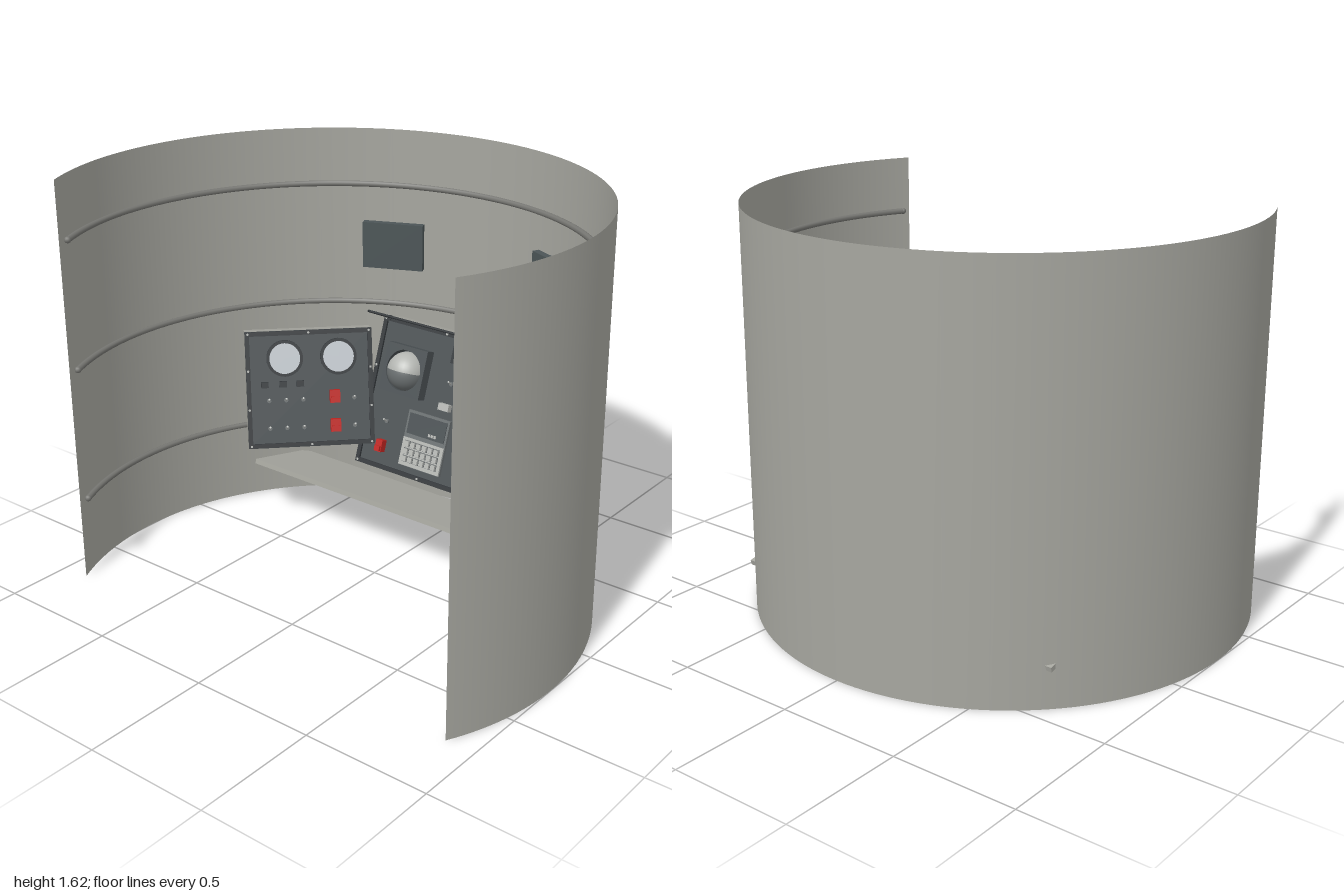
import * as THREE from 'three';

const material = (name, color) => Object.assign(new THREE.MeshStandardMaterial({ color }), { name });

export function createModel() {
  const shell = material('warm grey shell', 0xa6a69f);
  shell.side = THREE.DoubleSide;
  const ribGrey = material('rib grey', 0x777773);
  const panelGrey = material('panel grey', 0x4a5053);
  const trim = material('dark trim', 0x33373a);
  const windowGrey = material('wall plate grey', 0x4c5557);
  const light = material('light key grey', 0xb4b6b2);
  const mid = material('mid grey', 0x6b7071);
  const dial = material('dial white', 0xc3c9ce);
  const red = material('guard red', 0xc02420);

  const model = new THREE.Group();
  const add = (parent, name, geometry, mat, x = 0, y = 0, z = 0) => {
    const mesh = new THREE.Mesh(geometry, mat);
    mesh.name = name;
    mesh.position.set(x, y, z);
    parent.add(mesh);
    return mesh;
  };
  const box = (parent, name, mat, w, h, d, x, y, z) =>
    add(parent, name, new THREE.BoxGeometry(w, h, d), mat, x, y, z);
  const disc = (parent, name, mat, r, d, x, y, z, sides = 32) =>
    add(parent, name, new THREE.CylinderGeometry(r, r, d, sides).rotateX(Math.PI / 2), mat, x, y, z);

  // Curved wall, open towards the front
  const deg = Math.PI / 180, centreZ = 0.265;
  add(model, 'curvedWall',
    new THREE.CylinderGeometry(1, 1, 1.62, 96, 1, true, 62 * deg, 236 * deg), shell, 0, 0.81, centreZ);

  // Three ribs round the inside, with rounded ends
  for (const y of [0.345, 0.885, 1.395]) {
    const rib = new THREE.Group();
    rib.name = 'wallRib';
    rib.position.set(0, y, centreZ);
    model.add(rib);
    add(rib, 'ribTube', new THREE.TorusGeometry(0.97, 0.012, 8, 96, 233 * deg)
      .rotateZ(152.6 * deg).rotateX(Math.PI / 2), ribGrey);
    for (const t of [152.6 * deg, 385.6 * deg])
      add(rib, 'ribEnd', new THREE.SphereGeometry(0.013, 10, 8), ribGrey, 0.97 * Math.cos(t), 0, 0.97 * Math.sin(t));
  }

  // Flat plates on the upper wall
  for (const s of [-1, 1]) {
    const a = s * 23.8 * deg;
    const plate = box(model, 'wallPlate', windowGrey, 0.255, 0.195, 0.03,
      0.965 * Math.sin(a), 1.138, centreZ - 0.965 * Math.cos(a));
    plate.rotation.y = -a;
  }

  // Shelf, tilted up at the front
  const shelf = box(model, 'shelf', shell, 1.47, 0.02, 0.335, 0, 0.198, -0.275);
  shelf.rotation.x = -0.225;

  // Leaning console: body, face plate, frame and screws; z = 0 is the face
  const makeConsole = (name, w, h, d, x, y, z, yaw, lean) => {
    const g = new THREE.Group();
    g.name = name;
    g.position.set(x, y, z);
    g.rotation.set(-lean, yaw, 0, 'YXZ');
    model.add(g);
    box(g, 'consoleBody', shell, w, h, d - 0.012, 0, 0, -d / 2 - 0.006);
    box(g, 'facePlate', panelGrey, w, h, 0.012, 0, 0, -0.006);
    for (const s of [-1, 1]) {
      box(g, 'frameSide', trim, 0.018, h, 0.01, s * (w / 2 - 0.009), 0, 0.004);
      box(g, 'frameEdge', trim, w - 0.036, 0.018, 0.01, 0, s * (h / 2 - 0.009), 0.004);
      for (const k of [-1, 0, 1]) {
        disc(g, 'screw', light, 0.005, 0.004, k * (w / 2 - 0.012), s * (h / 2 - 0.009), 0.01, 8);
        if (k) disc(g, 'screw', light, 0.005, 0.004, s * (w / 2 - 0.009), k * h / 6, 0.01, 8);
      }
    }
    return g;
  };
  const toggle = (g, x, y) => {
    disc(g, 'toggleCollar', mid, 0.009, 0.008, x, y, 0.004, 10);
    const lever = add(g, 'toggleLever', new THREE.CylinderGeometry(0.004, 0.003, 0.028, 8).rotateX(Math.PI / 2 - 0.4),
      light, x, y + 0.004, 0.018);
    return lever;
  };
  const guard = (g, x, y, w, h) => {
    box(g, 'switchGuard', red, w, h, 0.03, x, y, 0.015);
    box(g, 'guardLip', red, w * 0.8, h * 0.4, 0.01, x, y - h * 0.2, 0.034);
  };

  // Centre console
  const centre = makeConsole('centreConsole', 0.64, 0.62, 0.12, 0, 0.5925, -0.382, 0, 0.33);

  // Attitude ball in a square housing
  const hole = new THREE.Shape([[-0.1, -0.1], [0.1, -0.1], [0.1, 0.1], [-0.1, 0.1]].map(p => new THREE.Vector2(...p)));
  hole.holes.push(new THREE.Path().absarc(0, 0, 0.084, 0, Math.PI * 2, true));
  add(centre, 'ballHousing', new THREE.ExtrudeGeometry(hole, { depth: 0.045, bevelEnabled: false, curveSegments: 24 }),
    panelGrey, -0.15, 0.115, 0);
  add(centre, 'ballUpperHalf', new THREE.SphereGeometry(0.08, 32, 12, 0, Math.PI * 2, 0, Math.PI / 2),
    light, -0.15, 0.112, 0.02);
  add(centre, 'ballLowerHalf', new THREE.SphereGeometry(0.08, 32, 12, 0, Math.PI * 2, Math.PI / 2, Math.PI / 2),
    mid, -0.15, 0.112, 0.02);

  // Switch strip
  box(centre, 'switchStrip', trim, 0.22, 0.072, 0.008, 0.15, 0.228, 0.004);
  for (let i = 0; i < 4; i++) toggle(centre, 0.09 + i * 0.04, 0.228);

  // Guards and push button
  guard(centre, 0.155, 0.11, 0.032, 0.055);
  guard(centre, 0.24, 0.11, 0.03, 0.055);
  guard(centre, 0.145, 0.014, 0.056, 0.034);
  guard(centre, 0.235, 0.014, 0.062, 0.034);
  guard(centre, -0.205, -0.215, 0.032, 0.05);
  box(centre, 'pushButton', light, 0.05, 0.028, 0.025, 0.062, 0.014, 0.0125);
  for (const [x, y] of [[0.065, 0.11], [-0.205, -0.112], [0.205, -0.112], [0.205, -0.195]]) toggle(centre, x, y);

  // Keypad unit with readout
  box(centre, 'keypadUnit', mid, 0.205, 0.23, 0.012, 0, -0.15, 0.006);
  box(centre, 'readout', panelGrey, 0.185, 0.085, 0.004, 0, -0.088, 0.013);
  for (let i = 0; i < 3; i++) box(centre, 'readoutMark', light, 0.01, 0.012, 0.004, 0.02 + i * 0.014, -0.115, 0.016);
  box(centre, 'keypadBase', light, 0.2, 0.115, 0.006, 0, -0.205, 0.014);
  for (let r = 0; r < 3; r++) for (let c = 0; c < 6; c++) {
    const x = -0.0725 + c * 0.029, y = -0.172 - r * 0.031;
    box(centre, 'keySurround', mid, 0.025, 0.026, 0.004, x, y, 0.018);
    box(centre, 'key', light, 0.02, 0.021, 0.01, x, y, 0.023);
  }

  // Grab handle standing out from the top edge
  const path = new THREE.CurvePath();
  const corners = [[-0.295, 0.305, -0.01], [-0.295, 0.325, 0.165], [0.295, 0.325, 0.165], [0.295, 0.305, -0.01]]
    .map(p => new THREE.Vector3(...p));
  for (let i = 0; i < 3; i++) path.add(new THREE.LineCurve3(corners[i], corners[i + 1]));
  add(centre, 'grabHandle', new THREE.TubeGeometry(path, 60, 0.005, 8), trim);
  for (const s of [-1, 1]) disc(centre, 'handleFoot', trim, 0.011, 0.012, s * 0.295, 0.305, 0.006, 12);

  // Side consoles, angled inwards
  for (const s of [-1, 1]) {
    const g = makeConsole(s < 0 ? 'rightConsole' : 'leftConsole', 0.52, 0.48, 0.115,
      s * 0.475, 0.62, -0.174, -s * Math.PI / 4, 0.27);
    for (const x of [-0.1, 0.12]) {
      disc(g, 'gaugeBezel', trim, 0.075, 0.014, -s * x, 0.128, 0.007);
      disc(g, 'gaugeDial', dial, 0.063, 0.004, -s * x, 0.128, 0.015);
    }
    for (const y of [-0.045, -0.16])
      for (const x of [-0.17, -0.1, -0.03, 0.1, 0.18])
        if (s > 0 || x !== 0.1) toggle(g, -s * x, y);
    if (s < 0) {
      for (const x of [-0.185, -0.11, -0.04]) box(g, 'darkButton', trim, 0.03, 0.024, 0.02, x, 0.022, 0.01);
      guard(g, 0.1, -0.035, 0.042, 0.052);
      guard(g, 0.1, -0.155, 0.042, 0.052);
    }
  }
  return model;
}
